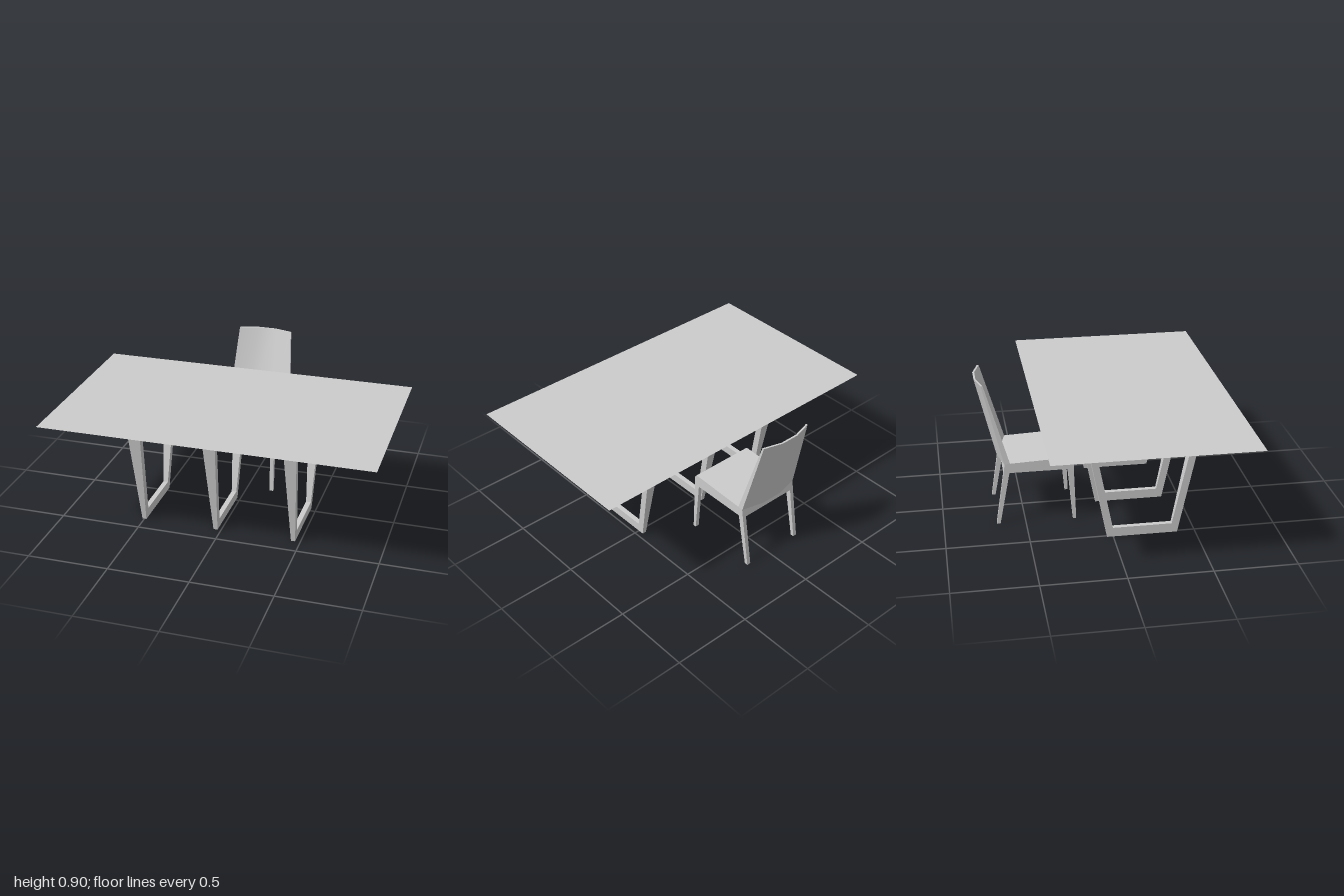
import * as THREE from 'three';

const material = new THREE.MeshStandardMaterial({ color: 0xcccccc });

function add(parent, name, geometry, x = 0, y = 0, z = 0) {
  const mesh = new THREE.Mesh(geometry, material);
  mesh.name = name;
  mesh.position.set(x, y, z);
  parent.add(mesh);
  return mesh;
}

// Moves every vertex by a rule and refreshes the normals.
function reshape(geometry, rule) {
  const p = geometry.attributes.position;
  const v = new THREE.Vector3();
  for (let i = 0; i < p.count; i++) {
    rule(v.fromBufferAttribute(p, i));
    p.setXYZ(i, v.x, v.y, v.z);
  }
  geometry.computeVertexNormals();
  return geometry;
}

const toPoints = (list) => list.map(([z, y]) => new THREE.Vector2(z, y));

// Extrudes a side profile given as [z, y] points, centred across x.
function sideExtrude(profile, width, hole) {
  const shape = new THREE.Shape(toPoints(profile));
  if (hole) shape.holes.push(new THREE.Path(toPoints(hole)));
  const geometry = new THREE.ExtrudeGeometry(shape, { depth: width, bevelEnabled: false });
  return geometry.translate(0, 0, -width / 2).rotateY(-Math.PI / 2);
}

function createTable() {
  const table = new THREE.Group();
  table.name = 'table';

  // Thin top with an underside chamfered to a fine edge
  const top = reshape(new THREE.BoxGeometry(2, 0.02, 1.2), (v) => {
    if (v.y < 0) {
      v.x -= Math.sign(v.x) * 0.05;
      v.z -= Math.sign(v.z) * 0.04;
    }
  });
  add(table, 'tableTop', top, 0, 0.727, 0.172);

  // Two long rails between the top and the frames
  for (const z of [0.412, -0.07]) {
    add(table, 'rail', new THREE.BoxGeometry(1.52, 0.03, 0.033), -0.03, 0.703, z);
  }

  // Three open trapezoid frames, narrowing in width toward the floor
  const outer = [[0.392, 0], [0.525, 0.688], [-0.17, 0.688], [-0.037, 0]];
  const hole = [[0.357, 0.06], [0.47, 0.628], [-0.117, 0.628], [-0.003, 0.06]];
  for (const x of [-0.5, -0.035, 0.455]) {
    const frame = reshape(sideExtrude(outer, 1, hole), (v) => {
      v.x *= 0.026 + (0.056 * v.y) / 0.688;
    });
    add(table, 'legFrame', frame, x);
  }
  return table;
}

function createChair() {
  const chair = new THREE.Group();
  chair.name = 'chair';
  chair.position.x = -0.035;

  // Seat with a rounded front edge
  const seat = [[-0.199, 0.34], [-0.198, 0.39], [-0.203, 0.405], [-0.212, 0.414], [-0.228, 0.417],
    [-0.585, 0.402], [-0.618, 0.4], [-0.627, 0.34]];
  add(chair, 'seat', sideExtrude(seat, 0.42));

  // Splayed, tapering legs
  const frontLeg = [[-0.187, 0], [-0.199, 0.345], [-0.236, 0.345], [-0.207, 0]];
  const backLeg = [[-0.656, 0], [-0.59, 0.345], [-0.626, 0.345], [-0.678, 0]];
  for (const side of [-1, 1]) {
    add(chair, 'frontLeg', sideExtrude(frontLeg, 0.025), side * 0.1975);
    add(chair, 'backLeg', sideExtrude(backLeg, 0.025), side * 0.1975);
  }

  // Reclined backrest, bowed rearward and thinner at the top
  const backrest = reshape(new THREE.BoxGeometry(2, 1, 1, 3, 1, 1), (v) => {
    const upper = v.y > 0;
    const bow = Math.abs(v.x) < 0.9 ? 0.034 : 0;
    const edge = upper ? -0.728 : -0.585;
    const thickness = upper ? 0.012 : 0.035;
    v.x *= upper ? 0.175 : 0.21;
    v.y = upper ? 0.9 : 0.4;
    v.z = edge - bow - (v.z < 0 ? thickness : 0);
  });
  add(chair, 'backrest', backrest);
  return chair;
}

export function createModel() {
  const model = new THREE.Group();
  model.name = 'tableWithChair';
  model.add(createTable(), createChair());
  return model;
}
